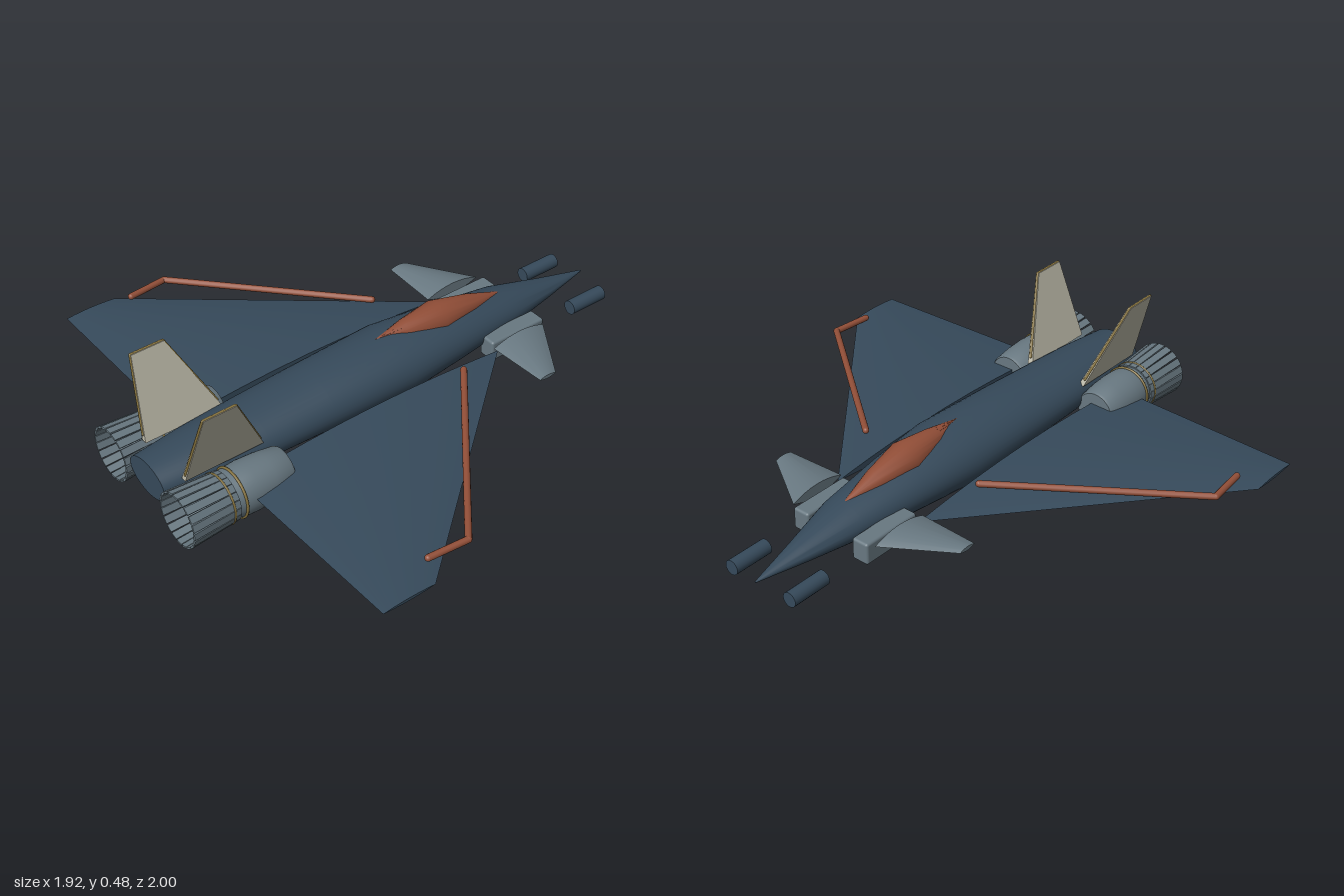
import * as THREE from 'three';
import { toCreasedNormals } from 'three/addons/utils/BufferGeometryUtils.js';
import { RoundedBoxGeometry } from 'three/addons/geometries/RoundedBoxGeometry.js';

const V = (x, y, z) => new THREE.Vector3(x, y, z);

// Closed skin through a list of equal-length point rings, always facing outwards.
function loft(rings, crease = 0.6) {
  const n = rings[0].length, m = rings.length;
  const pts = rings.flat();
  const tris = [];
  for (let i = 0; i < m - 1; i++) {
    for (let j = 0; j < n; j++) {
      const a = i * n + j, b = i * n + (j + 1) % n;
      tris.push([a, b, b + n], [a, b + n, a + n]);
    }
  }
  for (let j = 1; j < n - 1; j++) {
    tris.push([0, j + 1, j], [(m - 1) * n, (m - 1) * n + j, (m - 1) * n + j + 1]);
  }
  const volume = tris.reduce((sum, [a, b, c]) =>
    sum + pts[a].clone().sub(pts[0]).dot(pts[b].clone().sub(pts[0]).cross(pts[c].clone().sub(pts[0]))), 0);
  const geo = new THREE.BufferGeometry().setFromPoints(pts);
  geo.setIndex(tris.flatMap(([a, b, c]) => (volume < 0 ? [a, c, b] : [a, b, c])));
  return toCreasedNormals(geo, crease);
}

// Ellipse ring across z.
function ellipse(z, y, rx, ry, n = 40) {
  return Array.from({ length: n }, (_, i) => {
    const a = (i / n) * Math.PI * 2;
    return V(Math.cos(a) * rx, y + Math.sin(a) * ry, z);
  });
}

// Lens-shaped wing section at a given span.
function lens(x, y, z0, z1, half, n = 12) {
  return Array.from({ length: n * 2 }, (_, i) => {
    const a = (i / (n * 2)) * Math.PI * 2;
    const c = Math.cos(a), s = Math.sin(a);
    return V(x, y + half * s * Math.abs(s), (z0 + z1) / 2 - (c * (z1 - z0)) / 2);
  });
}

export function createModel() {
  const model = new THREE.Group();
  model.name = 'jetFighter';
  const paint = (name, color) => {
    const m = new THREE.MeshStandardMaterial({ color });
    m.name = name;
    return m;
  };
  const navy = paint('navy', 0x364a5b);
  const slate = paint('slate grey', 0x687881);
  const copper = paint('copper', 0x934f38);
  const ivory = paint('ivory', 0xb9b6a6);
  const brass = paint('brass', 0x83703c);

  const add = (name, geo, mat, parent = model) => {
    const mesh = new THREE.Mesh(geo, mat);
    mesh.name = name;
    parent.add(mesh);
    return mesh;
  };

  // Straight round rods with ball joints along a path
  const rod = (name, points, r, mat) => {
    const group = new THREE.Group();
    group.name = name;
    model.add(group);
    points.forEach((p, i) => {
      if (i > 0) {
        const path = new THREE.LineCurve3(points[i - 1], p);
        add(name + 'Bar', new THREE.TubeGeometry(path, 1, r, 12), mat, group);
      }
      add(name + 'Joint', new THREE.SphereGeometry(r, 12, 8), mat, group).position.copy(p);
    });
  };

  // Fuselage: z, centre y, half width, half height
  add('fuselage', loft([
    [-1, 0.112, 0.003, 0.003], [-0.8, 0.12, 0.05, 0.034], [-0.58, 0.135, 0.1, 0.07],
    [-0.3, 0.14, 0.135, 0.098], [-0.05, 0.141, 0.16, 0.12], [0.3, 0.137, 0.153, 0.106],
    [0.57, 0.133, 0.145, 0.093], [0.78, 0.133, 0.13, 0.084], [0.98, 0.133, 0.107, 0.068],
  ].map(s => ellipse(...s))), navy);

  // Canopy
  add('canopy', loft([
    [-0.585, 0.2, 0.001, 0.001], [-0.43, 0.213, 0.042, 0.04], [-0.27, 0.222, 0.07, 0.069],
    [-0.12, 0.225, 0.046, 0.052], [0.02, 0.245, 0.001, 0.012],
  ].map(s => ellipse(...s, 24))), copper);

  for (const s of [1, -1]) {
    const side = s > 0 ? 'left' : 'right';

    // Delta wing and canard
    add(side + 'Wing', loft([
      lens(0.19 * s, 0.12, -0.41, 0.745, 0.032), lens(0.96 * s, 0.112, 0.52, 0.73, 0.006),
    ]), navy);
    add(side + 'Canard', loft([
      lens(0.19 * s, 0.138, -0.63, -0.39, 0.025), lens(0.43 * s, 0.138, -0.475, -0.4, 0.008),
    ]), slate);

    // Intake box and forward pod
    add(side + 'Intake', new RoundedBoxGeometry(0.07, 0.085, 0.25, 3, 0.01), slate)
      .position.set(0.137 * s, 0.103, -0.525);
    const pod = add(side + 'Pod', new THREE.CylinderGeometry(0.028, 0.028, 0.16, 24), navy);
    pod.rotation.x = Math.PI / 2;
    pod.position.set(0.134 * s, 0.094, -0.9);

    // Rail above the wing
    rod(side + 'Rail', [V(0.265 * s, 0.192, -0.18), V(0.9 * s, 0.151, 0.335), V(0.885 * s, 0.151, 0.49)],
      0.0125, copper);

    // Engine, local y runs aft along z
    const engine = new THREE.Group();
    engine.name = side + 'Engine';
    engine.rotation.x = Math.PI / 2;
    engine.position.set(0.208 * s, 0.105, 0);
    model.add(engine);
    const profile = [[0, 0.57], [0.076, 0.57], [0.081, 0.58], [0.09, 0.65], [0.094, 0.72],
      [0.092, 0.77], [0.087, 0.8], [0.086, 0.85], [0, 0.85]];
    const nacelle = new THREE.LatheGeometry(profile.map(p => new THREE.Vector2(...p)), 40);
    add('nacelle', toCreasedNormals(nacelle, 0.6), slate, engine);
    for (const z of [0.78, 0.83]) {
      const ring = add('nozzleRing', new THREE.TorusGeometry(0.092, 0.005, 8, 40), brass, engine);
      ring.rotation.x = Math.PI / 2;
      ring.position.y = z;
    }

    // Flared nozzle petals
    const count = 20;
    for (let i = 0; i < count; i++) {
      const hinge = new THREE.Group();
      hinge.name = 'petalHinge';
      hinge.rotation.y = (i / count) * Math.PI * 2;
      engine.add(hinge);
      const petal = add('nozzlePetal', new THREE.BoxGeometry(0.027, 0.195, 0.008), slate, hinge);
      petal.position.set(0, 0.902, 0.0945);
      petal.rotation.x = 0.065;
    }

    // Canted fin with trimmed edges
    const slab = (x, y, zf, zb, t) => [V((x - t) * s, y, zf), V((x + t) * s, y, zf),
      V((x + t) * s, y, zb), V((x - t) * s, y, zb)];
    add(side + 'Fin', loft([
      slab(0.122, 0.175, 0.595, 0.912, 0.011), slab(0.217, 0.477, 0.75, 0.88, 0.007),
    ]), ivory);
    rod(side + 'FinTrim', [V(0.13 * s, 0.2, 0.607), V(0.217 * s, 0.475, 0.75),
      V(0.217 * s, 0.475, 0.88), V(0.13 * s, 0.2, 0.909)], 0.005, brass);
  }
  return model;
}
